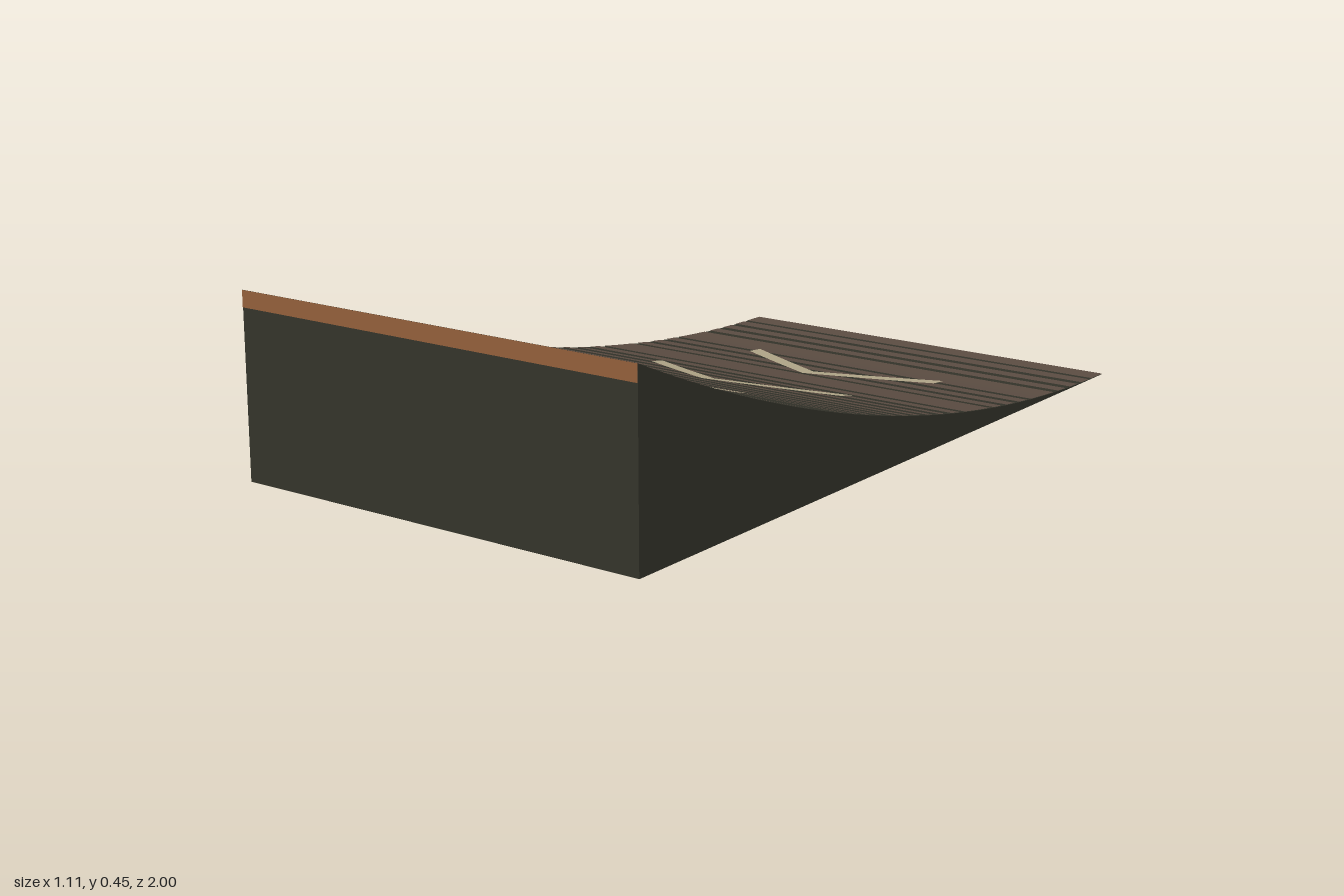
import * as THREE from 'three';

const HALF_W = 0.555, HEIGHT = 0.445;
const rampY = z => HEIGHT * ((z + 1) / 2) ** 2;

const mat = (name, color) => {
  const m = new THREE.MeshStandardMaterial({ color });
  m.name = name;
  return m;
};

// Thin sheet that follows the ramp curve; edges(x) gives its back and front z
function rampPatch(x0, x1, edges, lift, nx, nz) {
  const pos = [], index = [];
  for (let i = 0; i <= nx; i++) {
    const x = x0 + (x1 - x0) * i / nx;
    const [zb, zf] = edges(x);
    for (let j = 0; j <= nz; j++) {
      const z = zb + (zf - zb) * j / nz;
      pos.push(x, rampY(z) + lift, z);
      if (i < nx && j < nz) {
        const a = i * (nz + 1) + j, c = a + nz + 1;
        index.push(a, a + 1, c, c, a + 1, c + 1);
      }
    }
  }
  const g = new THREE.BufferGeometry();
  g.setAttribute('position', new THREE.Float32BufferAttribute(pos, 3));
  g.setIndex(index);
  g.computeVertexNormals();
  return g;
}

export function createModel() {
  const model = new THREE.Group();
  model.name = 'ramp';
  const dark = mat('dark olive', 0x33332a);
  const brown = mat('worn brown', 0x5b4c42);
  const rust = mat('rust orange', 0x935f3a);
  const yellow = mat('hazard yellow', 0xb8923f);
  const cream = mat('faded cream', 0xb2a789);

  const add = (name, geometry, material, parent = model) => {
    const mesh = new THREE.Mesh(geometry, material);
    mesh.name = name;
    parent.add(mesh);
    return mesh;
  };
  const addGroup = name => {
    const g = new THREE.Group();
    g.name = name;
    model.add(g);
    return g;
  };

  // Solid curved wedge, extruded across its width
  const side = new THREE.Shape();
  side.moveTo(-1, 0);
  side.lineTo(1, 0);
  for (let i = 64; i > 0; i--) {
    const z = -1 + i / 32;
    side.lineTo(z, rampY(z));
  }
  const body = new THREE.ExtrudeGeometry(side, { depth: HALF_W * 2, bevelEnabled: false });
  body.rotateY(-Math.PI / 2);
  body.translate(HALF_W, 0, 0);
  add('rampBody', body, dark);

  // Brown bands across the riding surface: back z, front z
  const bands = [
    [-1, -0.94], [-0.925, -0.883], [-0.86, -0.82], [-0.795, -0.755], [-0.73, -0.61],
    [-0.59, -0.55], [-0.525, -0.485], [-0.46, -0.42], [-0.4, -0.28], [-0.257, -0.215],
    [-0.185, -0.16], [-0.13, -0.105], [-0.075, -0.05], [-0.02, 0.005], [0.035, 0.055],
    [0.09, 0.108], [0.145, 0.165], [0.2, 0.215], [0.258, 0.275], [0.385, 0.395],
    [0.435, 0.455], [0.495, 0.515], [0.548, 0.57], [0.605, 0.615], [0.655, 0.68],
    [0.71, 0.733], [0.765, 0.79], [0.82, 0.845], [0.87, 0.915],
  ];
  const surface = addGroup('surfaceBands');
  for (const band of bands)
    add('surfaceBand', rampPatch(-HALF_W, HALF_W, () => band, 0.0015, 1, 4), brown, surface);

  // Chevron arrows pointing up the slope
  const chevrons = addGroup('chevrons');
  for (const tip of [-0.403, 0.035, 0.473]) {
    const edges = x => {
      const z = tip - Math.abs(x) * 0.6;
      return [z - 0.05, z];
    };
    add('chevron', rampPatch(-0.29, 0.29, edges, 0.004, 16, 2), cream, chevrons);
  }

  // Hazard blocks along the top edge
  const blocks = addGroup('hazardBlocks');
  const pitch = HALF_W * 0.4;
  for (let i = 0; i < 5; i++) {
    const x = -HALF_W + i * pitch;
    add('hazardBlock', rampPatch(x, x + pitch / 2, () => [0.935, 1], 0.002, 1, 2), yellow, blocks);
  }

  // Rust strip across the top of the front face
  const lip = new THREE.PlaneGeometry(HALF_W * 2, 0.04);
  lip.translate(0, HEIGHT - 0.02, 1.001);
  add('frontLip', lip, rust);

  return model;
}
